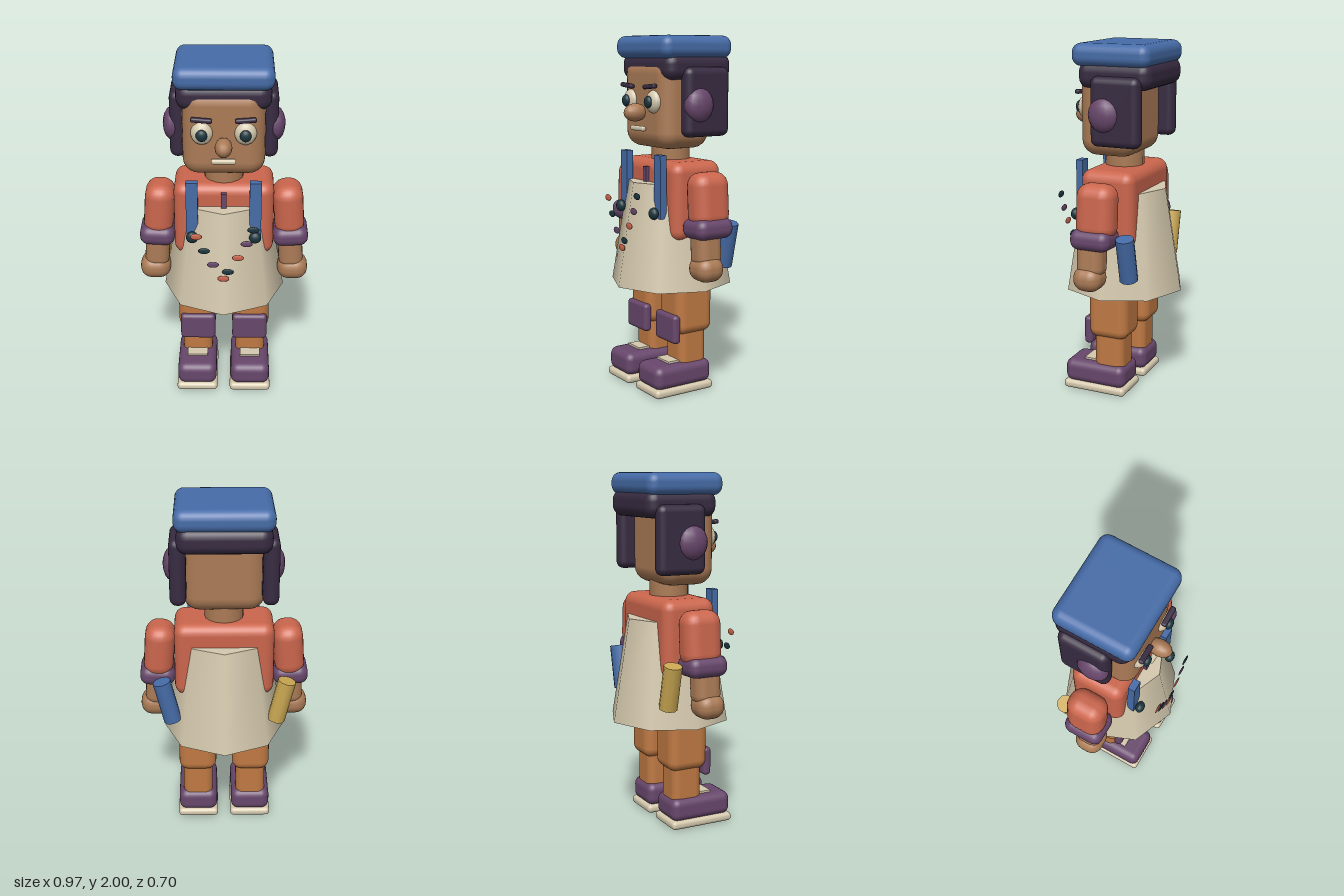
import * as THREE from 'three';
import { RoundedBoxGeometry } from 'three/addons/geometries/RoundedBoxGeometry.js';

const flat = (name, color) => {
  const m = new THREE.MeshStandardMaterial({ color });
  m.name = name;
  return m;
};

export function createModel() {
  const blue = flat('blue', 0x466ca8);
  const hairDark = flat('dark hair', 0x372b41);
  const purple = flat('purple', 0x68476c);
  const red = flat('coral red', 0xcb664d);
  const cream = flat('cream', 0xd5c9ae);
  const skin = flat('skin', 0xab7b56);
  const orange = flat('trouser orange', 0xbf7943);
  const teal = flat('dark teal', 0x1c363e);
  const yellow = flat('yellow', 0xc9a752);

  const root = new THREE.Group();
  root.name = 'figure';

  const add = (name, geo, mat, pos, parent = root) => {
    const m = new THREE.Mesh(geo, mat);
    m.name = name;
    m.position.set(...pos);
    parent.add(m);
    return m;
  };
  // soft-edged box given as [width, height, depth] with a corner radius
  const soft = (name, size, r, mat, pos, parent) =>
    add(name, new RoundedBoxGeometry(...size, 3, r), mat, pos, parent);
  const ball = (name, radii, mat, pos, parent) =>
    add(name, new THREE.SphereGeometry(1, 14, 10).scale(...radii), mat, pos, parent);

  // Head, hair and hat
  soft('head', [0.45, 0.5, 0.33], 0.09, skin, [0, 1.63, 0.025]);
  soft('hairCap', [0.51, 0.15, 0.43], 0.06, hairDark, [0, 1.83, -0.035]);
  soft('hat', [0.535, 0.125, 0.46], 0.052, blue, [0, 1.9375, -0.018]);
  add('neck', new THREE.CylinderGeometry(0.11, 0.11, 0.16, 16), skin, [0, 1.33, 0]);

  // Face centre
  ball('nose', [0.047, 0.05, 0.07], skin, [0, 1.58, 0.235]);
  soft('mouth', [0.135, 0.028, 0.03], 0.012, cream, [0, 1.492, 0.217]);

  // Torso, hips and apron
  soft('torso', [0.56, 0.44, 0.32], 0.06, red, [0, 1.095, -0.005]);
  soft('hips', [0.46, 0.2, 0.25], 0.04, orange, [0, 0.67, 0]);
  add('apron', new THREE.CylinderGeometry(0.25, 0.35, 0.59, 8), cream, [0, 0.895, 0]);
  add('collarPlacket', new THREE.BoxGeometry(0.03, 0.1, 0.03), purple, [0, 1.225, 0.16]);

  // Mirrored parts
  for (const s of [1, -1]) {
    const side = new THREE.Group();
    side.name = s > 0 ? 'leftSide' : 'rightSide';
    root.add(side);

    // Side hair and ear
    soft('sideHair', [0.09, 0.38, 0.29], 0.04, hairDark, [s * 0.25, 1.64, -0.06], side);
    ball('ear', [0.055, 0.095, 0.09], purple, [s * 0.28, 1.625, 0], side);

    // Eye and brow
    ball('eye', [0.06, 0.064, 0.04], cream, [s * 0.116, 1.642, 0.185], side);
    ball('pupil', [0.031, 0.033, 0.02], teal, [s * 0.116, 1.642, 0.224], side);
    soft('brow', [0.115, 0.025, 0.03], 0.01, hairDark, [s * 0.117, 1.725, 0.213], side).rotation.z = s * 0.08;

    // Strap and its button
    add('strap', new THREE.BoxGeometry(0.065, 0.35, 0.04), blue, [s * 0.175, 1.18, 0.185], side);
    ball('strapButton', [0.034, 0.034, 0.026], teal, [s * 0.175, 1.035, 0.228], side);

    // Arm
    soft('sleeve', [0.17, 0.31, 0.225], 0.075, red, [s * 0.367, 1.115, 0], side).rotation.z = s * 0.07;
    soft('cuff', [0.2, 0.115, 0.235], 0.05, purple, [s * 0.38, 0.966, 0.01], side).rotation.z = s * 0.05;
    soft('forearm', [0.14, 0.24, 0.155], 0.055, skin, [s * 0.383, 0.87, 0.025], side).rotation.z = s * 0.06;
    soft('hand', [0.175, 0.14, 0.165], 0.065, skin, [s * 0.398, 0.745, 0.032], side);

    // Leg
    soft('thigh', [0.22, 0.36, 0.24], 0.055, orange, [s * 0.157, 0.515, 0], side);
    soft('shin', [0.175, 0.3, 0.18], 0.045, orange, [s * 0.157, 0.27, 0], side);
    soft('kneePad', [0.205, 0.165, 0.05], 0.022, purple, [s * 0.153, 0.373, 0.12], side);

    // Shoe
    soft('shoe', [0.23, 0.135, 0.375], 0.045, purple, [s * 0.157, 0.108, 0.08], side);
    soft('sole', [0.24, 0.05, 0.385], 0.022, cream, [s * 0.157, 0.025, 0.08], side);
    add('tongue', new THREE.BoxGeometry(0.12, 0.02, 0.09), cream, [s * 0.157, 0.177, 0.113], side);

    // Tube hung at the hip, leaning outward
    add('hipTube', new THREE.CylinderGeometry(0.052, 0.052, 0.255, 10), s > 0 ? blue : yellow,
      [s * 0.325, 0.85, -0.157], side).rotation.z = -s * 0.23;
  }

  // Paint spots in front of the apron
  const spots = [
    [-0.148, 1.093, red], [0.127, 1.05, purple], [0.162, 1.137, teal], [-0.106, 1.005, teal],
    [0.08, 0.962, red], [-0.057, 0.918, purple], [0.026, 0.872, teal], [0, 0.828, red],
  ];
  for (const [x, y, mat] of spots) ball('paintSpot', [0.033, 0.019, 0.006], mat, [x, y, 0.327]);

  return root;
}
